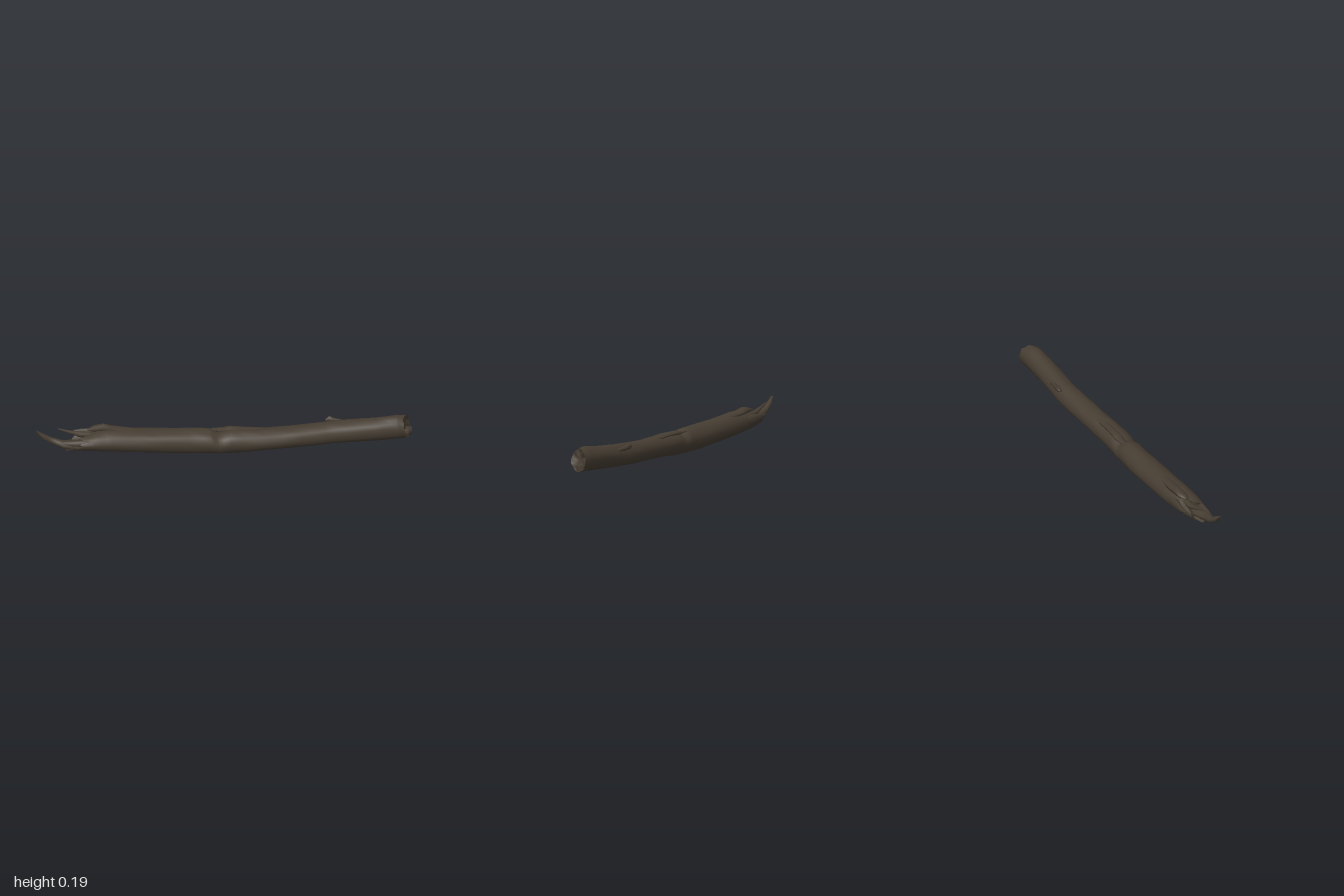
import * as THREE from 'three';

const bark = new THREE.MeshStandardMaterial({ color: 0x463d32, side: THREE.DoubleSide });
bark.name = 'bark';

// Lofts a closed skin along x. Each row: x, yLow, yHigh, zBack, zFront, x lean by z, x lean by y.
function loft(name, rows, { sides = 18, steps = 3, rough = 0, jag = [0, 0], dish = [0, 0] } = {}) {
  const rings = [];
  const last = (rows.length - 1) * steps;
  for (let i = 0; i <= last; i++) {
    const k = Math.min(Math.floor(i / steps), rows.length - 2);
    const t = i / steps - k;
    const [x, y0, y1, z0, z1, lz = 0, ly = 0] = rows[k].map((v, n) => THREE.MathUtils.lerp(v, rows[k + 1][n], t));
    const ring = [];
    for (let j = 0; j < sides; j++) {
      const a = (j / sides) * Math.PI * 2;
      const c = Math.cos(a), s = Math.sin(a);
      // long bark furrows, kept off the smoother underside
      const up = 0.35 + 0.65 * Math.max(0, s);
      const r = 1 + rough * up * (Math.sin(a * 5 + x * 7) + Math.sin(a * 3 - x * 17) + 0.7 * Math.sin(a * 7 + x * 41));
      const end = i === 0 ? jag[0] : i === last ? jag[1] : 0;
      ring.push([
        x + lz * c + ly * s + end * Math.sin(j * 2.4 + 1) * Math.cos(j * 1.3),
        (y0 + y1) / 2 + ((y1 - y0) / 2) * s * r,
        (z0 + z1) / 2 + ((z1 - z0) / 2) * c * r,
      ]);
    }
    rings.push(ring);
  }
  const pos = rings.flat(2);
  const index = [];
  for (let i = 0; i < last; i++) {
    for (let j = 0; j < sides; j++) {
      const n = (j + 1) % sides;
      const a = i * sides + j, b = a + sides, c = i * sides + n, d = c + sides;
      index.push(a, b, c, b, d, c);
    }
  }
  // broken ends: a sunken inner ring and a centre point, with their own rim for a sharp edge
  [0, last].forEach((at, e) => {
    const ring = rings[at];
    const mid = [0, 1, 2].map((n) => ring.reduce((sum, p) => sum + p[n], 0) / sides);
    const base = pos.length / 3;
    const inward = e === 0 ? dish[0] : -dish[1];
    ring.forEach((p) => pos.push(...p));
    ring.forEach((p, j) => pos.push(
      THREE.MathUtils.lerp(p[0], mid[0], 0.4) + inward * (0.7 + 0.5 * Math.sin(j * 1.9)),
      THREE.MathUtils.lerp(p[1], mid[1], 0.4),
      THREE.MathUtils.lerp(p[2], mid[2], 0.4)));
    pos.push(mid[0] + inward, mid[1], mid[2]);
    const tri = (a, b, c) => (e === 0 ? index.push(a, b, c) : index.push(a, c, b));
    for (let j = 0; j < sides; j++) {
      const n = (j + 1) % sides;
      const o = base + j, p = base + n;
      tri(o, p, o + sides);
      tri(p, p + sides, o + sides);
      tri(base + 2 * sides, o + sides, p + sides);
    }
  });
  const geo = new THREE.BufferGeometry();
  geo.setAttribute('position', new THREE.Float32BufferAttribute(pos, 3));
  geo.setIndex(index);
  geo.computeVertexNormals();
  const mesh = new THREE.Mesh(geo, bark);
  mesh.name = name;
  return mesh;
}

export function createModel() {
  const group = new THREE.Group();
  group.name = 'brokenLog';

  // Main trunk, gently sagging in the middle
  group.add(loft('trunk', [
    [-0.79, 0.064, 0.134, -0.052, 0.054, 0, 0.05],
    [-0.7, 0.051, 0.15, -0.078, 0.062, 0, 0.02],
    [-0.6, 0.039, 0.158, -0.084, 0.066, 0, 0],
    [-0.4, 0.021, 0.146, -0.079, 0.068, 0, 0],
    [-0.2, 0.006, 0.139, -0.072, 0.07, 0, 0],
    [-0.08, 0.003, 0.135, -0.062, 0.075, 0, 0],
    [-0.03, 0.001, 0.112, -0.057, 0.078, 0, 0],
    [0.03, 0.002, 0.13, -0.054, 0.081, 0, 0],
    [0.15, 0.007, 0.125, -0.05, 0.086, 0, 0],
    [0.3, 0.011, 0.123, -0.052, 0.08, 0, 0],
    [0.45, 0.012, 0.129, -0.056, 0.071, 0, 0],
    [0.57, 0.018, 0.136, -0.057, 0.066, 0, 0],
    [0.8, 0.027, 0.152, -0.042, 0.074, 0, 0],
    [0.92, 0.032, 0.162, -0.039, 0.076, -0.01, -0.005],
    [0.972, 0.035, 0.157, -0.037, 0.073, -0.021, -0.011],
  ], { rough: 0.022, jag: [0.035, 0.008], dish: [0.04, 0.018] }));

  // Long curved splinter at the snapped end
  group.add(loft('longSplinter', [
    [-1, 0.174, 0.188, 0, 0.012],
    [-0.97, 0.132, 0.168, -0.012, 0.018],
    [-0.92, 0.1, 0.138, -0.016, 0.022],
    [-0.86, 0.077, 0.122, -0.014, 0.045],
    [-0.79, 0.065, 0.115, -0.03, 0.052],
    [-0.7, 0.056, 0.11, -0.035, 0.05],
  ], { sides: 9, rough: 0.04, jag: [0.008, 0] }));

  // Smaller splinters and lifted bark around the break
  const splinters = [
    ['upperSplinter', [[-0.885, 0.168, 0.174, -0.033, -0.027], [-0.84, 0.146, 0.162, -0.036, -0.02], [-0.77, 0.115, 0.146, -0.045, -0.012], [-0.68, 0.11, 0.14, -0.05, 0]]],
    ['backSplinter', [[-0.795, 0.118, 0.128, -0.086, -0.078], [-0.75, 0.098, 0.135, -0.09, -0.07], [-0.68, 0.08, 0.14, -0.088, -0.055], [-0.58, 0.07, 0.13, -0.08, -0.03]]],
    ['frontSplinter', [[-0.87, 0.112, 0.12, 0.026, 0.034], [-0.82, 0.092, 0.125, 0.02, 0.046], [-0.72, 0.08, 0.13, 0.015, 0.055]]],
    ['liftedBark', [[-0.725, 0.15, 0.158, -0.04, -0.02], [-0.69, 0.145, 0.171, -0.062, -0.012], [-0.64, 0.14, 0.181, -0.066, -0.012], [-0.59, 0.135, 0.166, -0.062, 0], [-0.45, 0.125, 0.148, -0.045, 0.01]]],
    ['topRidge', [[-0.07, 0.12, 0.126, -0.03, 0.0], [0.0, 0.11, 0.13, -0.035, 0.01], [0.03, 0.11, 0.137, -0.035, 0.015], [0.12, 0.11, 0.13, -0.025, 0.02], [0.24, 0.1, 0.12, -0.02, 0.02]]],
    ['barkNub', [[0.545, 0.118, 0.128, -0.056, -0.04], [0.565, 0.11, 0.144, -0.064, -0.036], [0.6, 0.105, 0.13, -0.055, -0.03], [0.66, 0.1, 0.12, -0.045, -0.02]]],
    ['endLip', [[0.92, 0.036, 0.075, -0.02, 0.035], [0.975, 0.036, 0.082, -0.028, 0.035], [1, 0.042, 0.075, -0.03, 0.012]]],
  ];
  for (const [name, rows] of splinters) group.add(loft(name, rows, { sides: 7, steps: 2, rough: 0.05 }));

  return group;
}
